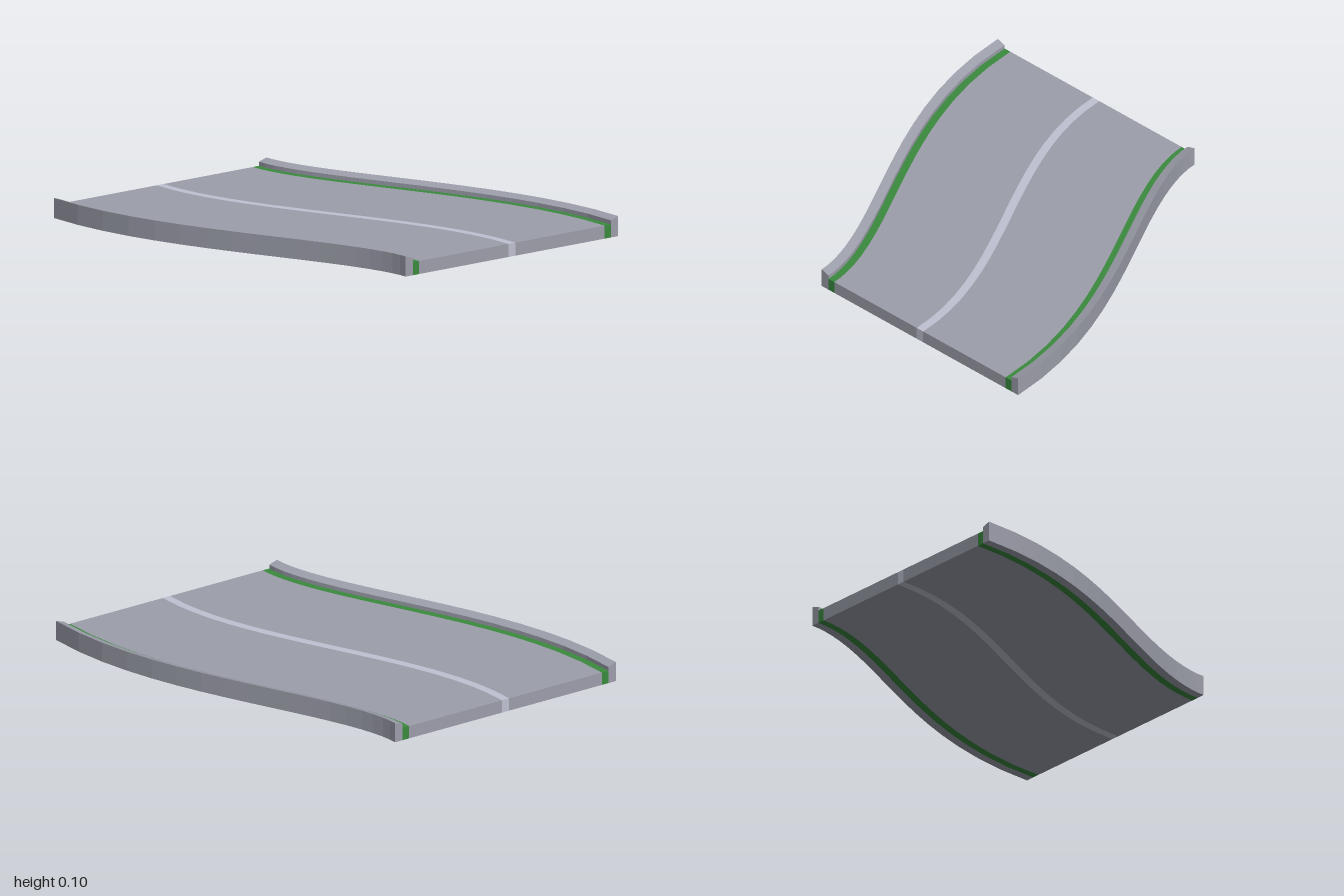
import * as THREE from 'three';

const SEGMENTS = 18;
const ROAD = 0.067, KERB_IN = 0.088, KERB_OUT = 0.103;

// Point on the S-bend at t (0 back, 1 front), moved sideways by u along the path normal
function bend(t, u, y) {
  const z = 2 * t - 1;
  const x = (1.5 * z - 0.5 * z ** 3) / 3;
  const slope = (1 - z * z) / 2;
  const len = Math.hypot(1, slope);
  return [x + u / len, y, z - (u * slope) / len];
}

// Sweep a four-cornered section (u, y), counter-clockwise seen from the front, along the bend
function strip(name, color, section) {
  const positions = [], index = [];
  for (let i = 0; i <= SEGMENTS; i++) {
    for (const [u, y] of section) positions.push(...bend(i / SEGMENTS, u, y));
  }
  for (let i = 0; i < SEGMENTS; i++) {
    for (let k = 0; k < 4; k++) {
      const a = i * 4 + k, b = i * 4 + ((k + 1) % 4);
      index.push(a, b, b + 4, a, b + 4, a + 4);
    }
  }
  // End caps
  const e = SEGMENTS * 4;
  index.push(0, 2, 1, 0, 3, 2, e, e + 1, e + 2, e, e + 2, e + 3);

  const indexed = new THREE.BufferGeometry();
  indexed.setAttribute('position', new THREE.Float32BufferAttribute(positions, 3));
  indexed.setIndex(index);
  const geometry = indexed.toNonIndexed();
  geometry.computeVertexNormals();
  const mesh = new THREE.Mesh(geometry, new THREE.MeshStandardMaterial({ color, flatShading: true }));
  mesh.name = name;
  return mesh;
}

const slab = (u0, u1, left = ROAD, right = ROAD) => [[u0, 0], [u1, 0], [u1, right], [u0, left]];

export function createModel() {
  const group = new THREE.Group();
  group.name = 'curvedRoad';
  const grey = 0x9c9eaa, pale = 0xbfc1d2, green = 0x3a8a3e;
  const half = 0.667, kerb = 0.621, edge = 0.582, line = 0.022;

  group.add(strip('centreLine', pale, slab(-line, line)));

  // Right half (-x) and left half (+x)
  group.add(
    strip('rightLane', grey, slab(-edge, -line)),
    strip('leftLane', grey, slab(line, edge)),
    strip('rightEdgeStripe', green, slab(-kerb, -edge)),
    strip('leftEdgeStripe', green, slab(edge, kerb)),
    strip('rightKerb', grey, slab(-half, -kerb, KERB_OUT, KERB_IN)),
    strip('leftKerb', grey, slab(kerb, half, KERB_IN, KERB_OUT)),
  );
  return group;
}
